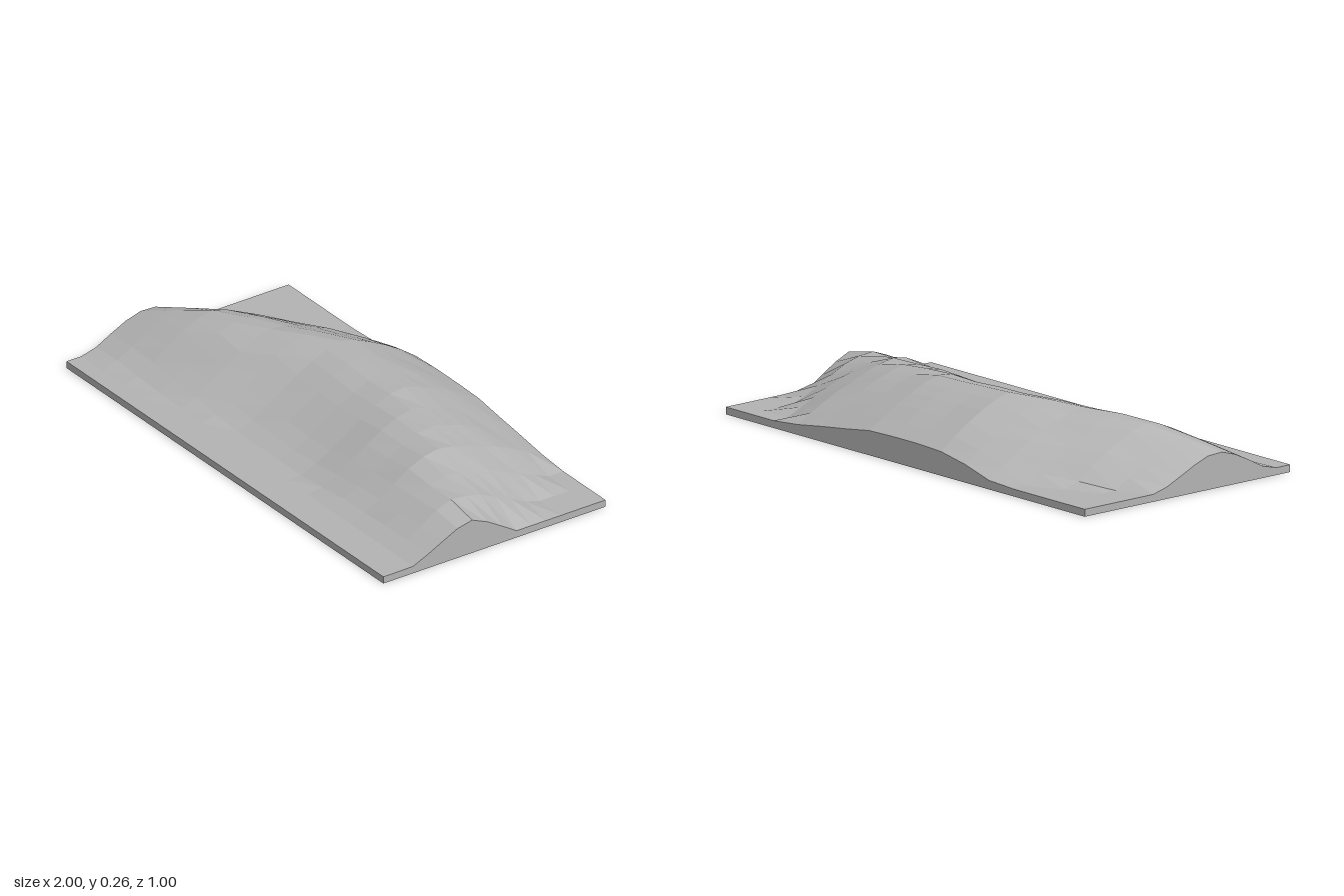
import * as THREE from 'three';

const SEGMENTS = 15;
const BASE = 0.028; // thickness of the flat ground slab

// Ridge cross-sections along x: [x, crest height, crest z, front foot z, back foot z]
const SECTIONS = [
  [-1.0, 0.135, 0.14, 0.42, -0.13],
  [-0.867, 0.175, 0.10, 0.42, -0.23],
  [-0.733, 0.213, 0.04, 0.40, -0.33],
  [-0.6, 0.228, 0.0, 0.38, -0.42],
  [-0.467, 0.235, -0.05, 0.36, -0.51],
  [-0.333, 0.25, -0.11, 0.33, -0.56],
  [-0.2, 0.26, -0.165, 0.30, -0.59],
  [0.067, 0.25, -0.165, 0.29, -0.60],
  [0.2, 0.249, -0.15, 0.30, -0.60],
  [0.333, 0.236, -0.11, 0.33, -0.58],
  [0.467, 0.225, -0.09, 0.36, -0.55],
  [0.6, 0.213, -0.03, 0.36, -0.52],
  [0.733, 0.18, 0.03, 0.37, -0.43],
  [0.867, 0.165, 0.08, 0.37, -0.27],
  [1.0, 0.137, 0.1, 0.37, -0.09],
];

// Blend the two sections on either side of x
function sectionAt(x) {
  let i = 0;
  while (i < SECTIONS.length - 2 && x > SECTIONS[i + 1][0]) i++;
  const a = SECTIONS[i], b = SECTIONS[i + 1];
  const t = THREE.MathUtils.clamp((x - a[0]) / (b[0] - a[0]), 0, 1);
  return a.map((v, k) => THREE.MathUtils.lerp(v, b[k], t));
}

function heightAt(x, z) {
  const [, crest, crestZ, front, back] = sectionAt(x);
  const isFront = z > crestZ;
  const t = Math.min(1, (z - crestZ) / ((isFront ? front : back) - crestZ));
  const round = 1 - Math.pow(t, 1.4);
  const soft = 0.5 + 0.5 * Math.cos(Math.PI * t);
  const fall = isFront ? (round + soft) / 2 : round;
  // slight unevenness on the slopes only
  const ripple = 0.004 * Math.sin(x * 17 + z * 9) * Math.sin(z * 23 - x * 5) * 4 * t * (1 - t);
  return BASE + (crest - BASE) * fall + ripple;
}

export function createModel() {
  const group = new THREE.Group();
  group.name = 'terrainModel';

  const stone = new THREE.MeshStandardMaterial({ color: 0xb3b3b3 });
  stone.name = 'stone grey';
  stone.flatShading = true;

  // Solid block whose top is raised into the ridge
  const block = new THREE.BoxGeometry(2, 1, 1, SEGMENTS, 1, SEGMENTS);
  const p = block.attributes.position;
  for (let i = 0; i < p.count; i++) {
    p.setY(i, p.getY(i) > 0 ? heightAt(p.getX(i), p.getZ(i)) : 0);
  }
  const geometry = block.toNonIndexed();
  geometry.computeVertexNormals();

  const terrain = new THREE.Mesh(geometry, stone);
  terrain.name = 'ridgeTerrain';
  group.add(terrain);
  return group;
}
